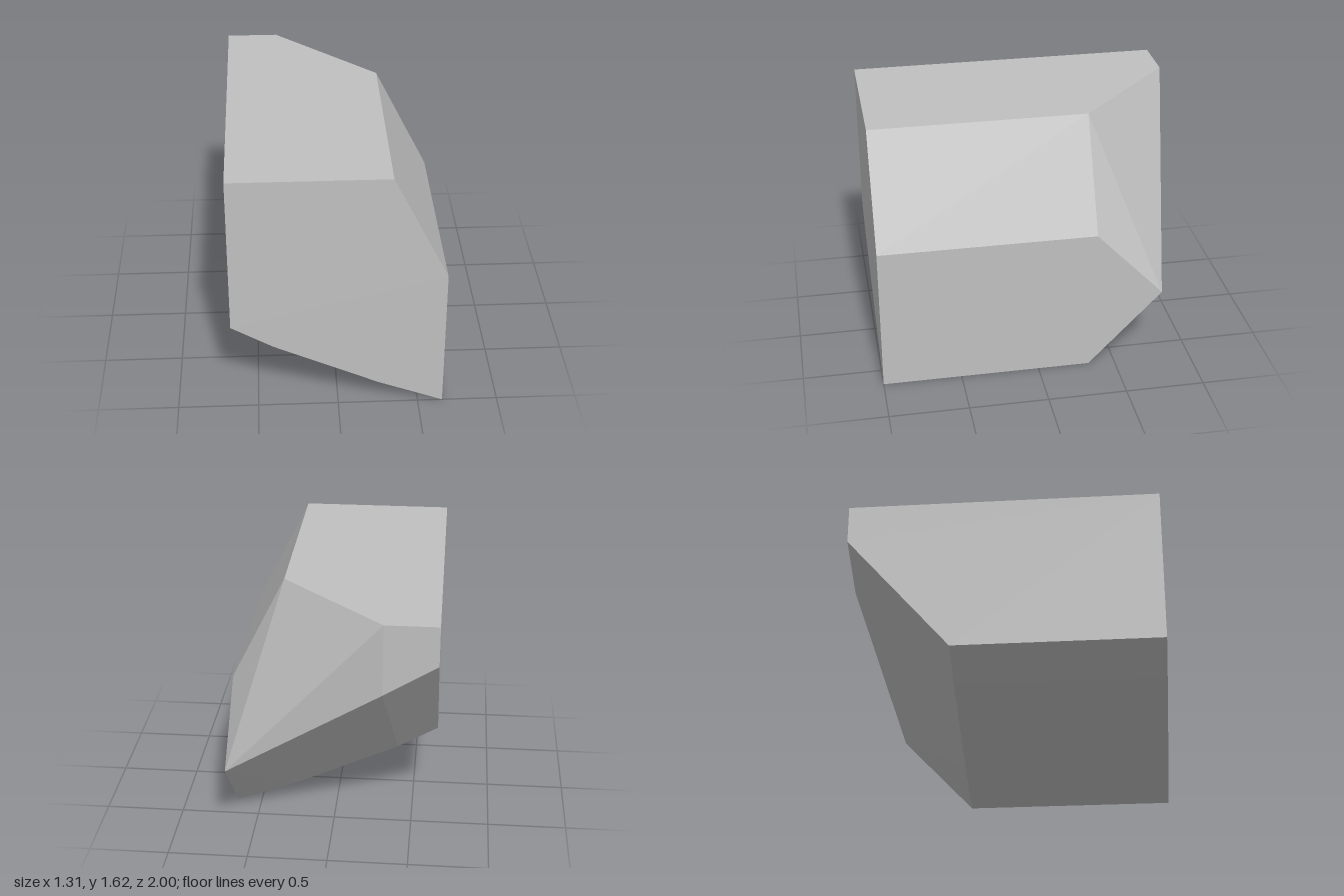
import * as THREE from 'three';

export function createModel() {
  const group = new THREE.Group();
  group.name = 'facetedBlock';

  const grey = new THREE.MeshStandardMaterial({ color: 0xc0c0c0 });
  grey.name = 'stoneGrey';

  // Front outline, counter-clockwise from the lower left
  const profile = [
    [-0.655, 0.605], [-0.4, 0.455], [0.25, 0.155], [0.655, 0],
    [0.655, 0.94], [0.315, 1.62], [-0.655, 1.62],
  ];
  // Depth at which each profile edge line ends at the back
  const backZ = [-0.33, -0.33, -0.33, -0.33, -0.37, -0.37, -1];
  const f = profile.map(([x, y]) => [x, y, 1]);
  const b = profile.map(([x, y], i) => [x, y, backZ[i]]);

  // Extra corners of the cut back end
  const topCorner = [-0.33, 1.62, -1];
  const lowInner = [-0.33, 1.17, -1];
  const lowOuter = [-0.655, 1.37, -1];
  const tip = [0.655, 0.49, -0.8];

  // Each part is a list of convex polygons, fanned into flat triangles
  const addPart = (name, polygons) => {
    const positions = [];
    for (const p of polygons) {
      for (let i = 1; i < p.length - 1; i++) positions.push(...p[0], ...p[i], ...p[i + 1]);
    }
    const geometry = new THREE.BufferGeometry();
    geometry.setAttribute('position', new THREE.Float32BufferAttribute(positions, 3));
    geometry.computeVertexNormals();
    const mesh = new THREE.Mesh(geometry, grey);
    mesh.name = name;
    group.add(mesh);
  };

  addPart('frontFace', [f]);
  addPart('underside', [0, 1, 2].map((i) => [f[i], b[i], b[i + 1], f[i + 1]]));
  addPart('leftFace', [[f[3], b[3], tip, b[4], f[4]]]);
  addPart('topBevel', [[f[4], b[4], b[5], f[5]]]);
  addPart('topFace', [[f[5], b[5], topCorner, b[6], f[6]]]);
  addPart('rightFace', [[f[6], b[6], lowOuter, b[0], f[0]]]);
  addPart('backFace', [[b[6], topCorner, lowInner, lowOuter]]);
  addPart('backCornerFacets', [
    [b[5], b[4], tip],
    [b[5], tip, topCorner],
    [topCorner, tip, lowInner],
  ]);
  // Sloping cut between the back edge and the underside
  addPart('backSlope', [
    [lowOuter, lowInner, b[1]],
    [lowOuter, b[1], b[0]],
    [lowInner, b[2], b[1]],
    [lowInner, tip, b[2]],
    [tip, b[3], b[2]],
  ]);

  return group;
}
